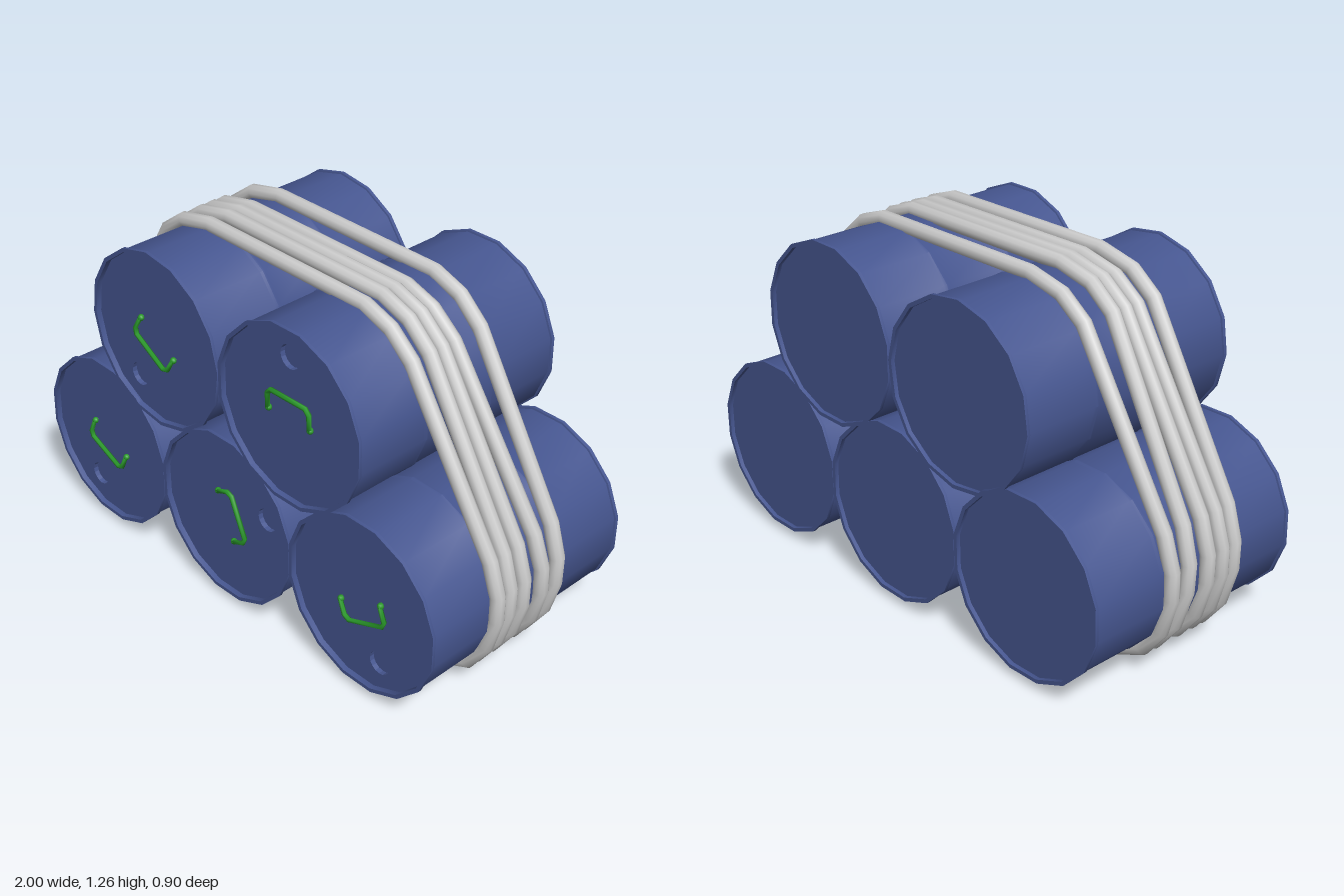
import * as THREE from 'three';
import { toCreasedNormals } from 'three/addons/utils/BufferGeometryUtils.js';

const SIDES = 16;
const blue = new THREE.MeshStandardMaterial({ color: 0x465690 });
const green = new THREE.MeshStandardMaterial({ color: 0x2a9a2a });
const grey = new THREE.MeshStandardMaterial({ color: 0xcccccc });

// Curve through corner points, with one tube ring per corner, set on the bisector
class CornerCurve extends THREE.Curve {
  constructor(points, closed) {
    super();
    this.points = points;
    this.closed = closed;
    this.count = closed ? points.length : points.length - 1;
  }
  corner(i) {
    const n = this.points.length;
    return this.points[this.closed ? (i + n) % n : Math.min(Math.max(i, 0), n - 1)];
  }
  getPoint(t, target = new THREE.Vector3()) {
    const s = t * this.count, i = Math.floor(s + 1e-6);
    return target.lerpVectors(this.corner(i), this.corner(i + 1), Math.max(s - i, 0));
  }
  getPointAt(t, target) { return this.getPoint(t, target); }
  getTangentAt(t, target = new THREE.Vector3()) {
    const i = Math.round(t * this.count), p = this.corner(i);
    const before = p.clone().sub(this.corner(i - 1)).normalize();
    const after = this.corner(i + 1).clone().sub(p).normalize();
    return target.copy(before).add(after).normalize();
  }
}

function cornerTube(points, radius, radial, closed) {
  const curve = new CornerCurve(points, closed);
  return new THREE.TubeGeometry(curve, curve.count, radius, radial, closed);
}

function addMesh(parent, name, geometry, material) {
  const mesh = new THREE.Mesh(geometry, material);
  mesh.name = name;
  parent.add(mesh);
  return mesh;
}

// Body with rims, two faint ribs and a recessed bottom
const profile = [
  [0, -0.435], [0.314, -0.435], [0.314, -0.45], [0.328, -0.45], [0.328, -0.438], [0.322, -0.436],
  [0.322, -0.16], [0.325, -0.15], [0.322, -0.14],
  [0.322, 0.14], [0.325, 0.15], [0.322, 0.16],
  [0.322, 0.436], [0.328, 0.438], [0.328, 0.45], [0.314, 0.45], [0.314, 0.425],
].map(([x, y]) => new THREE.Vector2(x, y));
const bodyGeometry = toCreasedNormals(
  new THREE.LatheGeometry(profile, SIDES, Math.PI / SIDES).rotateX(Math.PI / 2), 0.6);

// Lid with a round hole
const lidShape = new THREE.Shape(Array.from({ length: SIDES }, (_, i) => {
  const a = (i + 0.5) / SIDES * Math.PI * 2;
  return new THREE.Vector2(Math.cos(a) * 0.315, Math.sin(a) * 0.315);
}));
const hole = new THREE.Path();
hole.absarc(0, 0.215, 0.043, 0, Math.PI * 2, true);
lidShape.holes.push(hole);
const lidGeometry = new THREE.ExtrudeGeometry(lidShape, { depth: 0.02, bevelEnabled: false, curveSegments: 8 });
lidGeometry.translate(0, 0, 0.41);

// Handle lying over the lid, its feet bent into it
const handlePoints = [
  [-0.095, -0.01, 0.425], [-0.095, -0.004, 0.44], [-0.095, 0.05, 0.441], [-0.078, 0.068, 0.441],
  [0.078, 0.068, 0.441], [0.095, 0.05, 0.441], [0.095, -0.004, 0.44], [0.095, -0.01, 0.425],
].map((p) => new THREE.Vector3(...p));
const handleGeometry = cornerTube(handlePoints, 0.009, 6, false);
const footGeometry = new THREE.SphereGeometry(0.012, 8, 6);

function makeBarrel(x, y, degrees) {
  const barrel = new THREE.Group();
  barrel.name = 'barrel';
  addMesh(barrel, 'barrelBody', bodyGeometry, blue);
  addMesh(barrel, 'barrelLid', lidGeometry, blue);
  addMesh(barrel, 'bungFloor', new THREE.CircleGeometry(0.05, 16), blue).position.set(0, 0.215, 0.412);
  addMesh(barrel, 'handle', handleGeometry, green);
  for (const side of [-1, 1]) {
    addMesh(barrel, 'handleFoot', footGeometry, green).position.set(side * 0.095, -0.006, 0.436);
  }
  barrel.position.set(x, y, 0);
  barrel.rotation.z = THREE.MathUtils.degToRad(degrees);
  return barrel;
}

// Rope outline around the stack, counter-clockwise from the lower right
const ropeOutline = [
  [0.72, 0.032], [0.865, 0.1], [0.938, 0.21], [0.973, 0.335], [0.973, 0.43], [0.935, 0.545],
  [0.582, 1.115], [0.492, 1.195], [0.38, 1.235],
  [-0.345, 1.245], [-0.485, 1.215], [-0.58, 1.145],
  [-0.935, 0.55], [-0.973, 0.43], [-0.973, 0.335], [-0.935, 0.2], [-0.86, 0.1], [-0.72, 0.032],
];

// Each loop leans from its bottom z to its top z
function makeRope(zBottom, zTop) {
  const points = ropeOutline.map(([x, y]) =>
    new THREE.Vector3(x, y, THREE.MathUtils.lerp(zBottom, zTop, (y - 0.03) / 1.21)));
  return cornerTube(points, 0.027, 10, true);
}

export function createModel() {
  const model = new THREE.Group();
  model.name = 'barrelStack';

  const barrels = [
    [-0.645, 0.36, 156], [0, 0.36, -67], [0.645, 0.36, -158],
    [-0.335, 0.91, 149], [0.318, 0.91, 0],
  ];
  for (const [x, y, degrees] of barrels) model.add(makeBarrel(x, y, degrees));

  const ropes = [[0.16, 0.172], [0.115, 0.09], [0.043, 0.038], [-0.065, -0.01], [-0.115, -0.142]];
  for (const [zBottom, zTop] of ropes) addMesh(model, 'ropeLoop', makeRope(zBottom, zTop), grey);

  return model;
}
